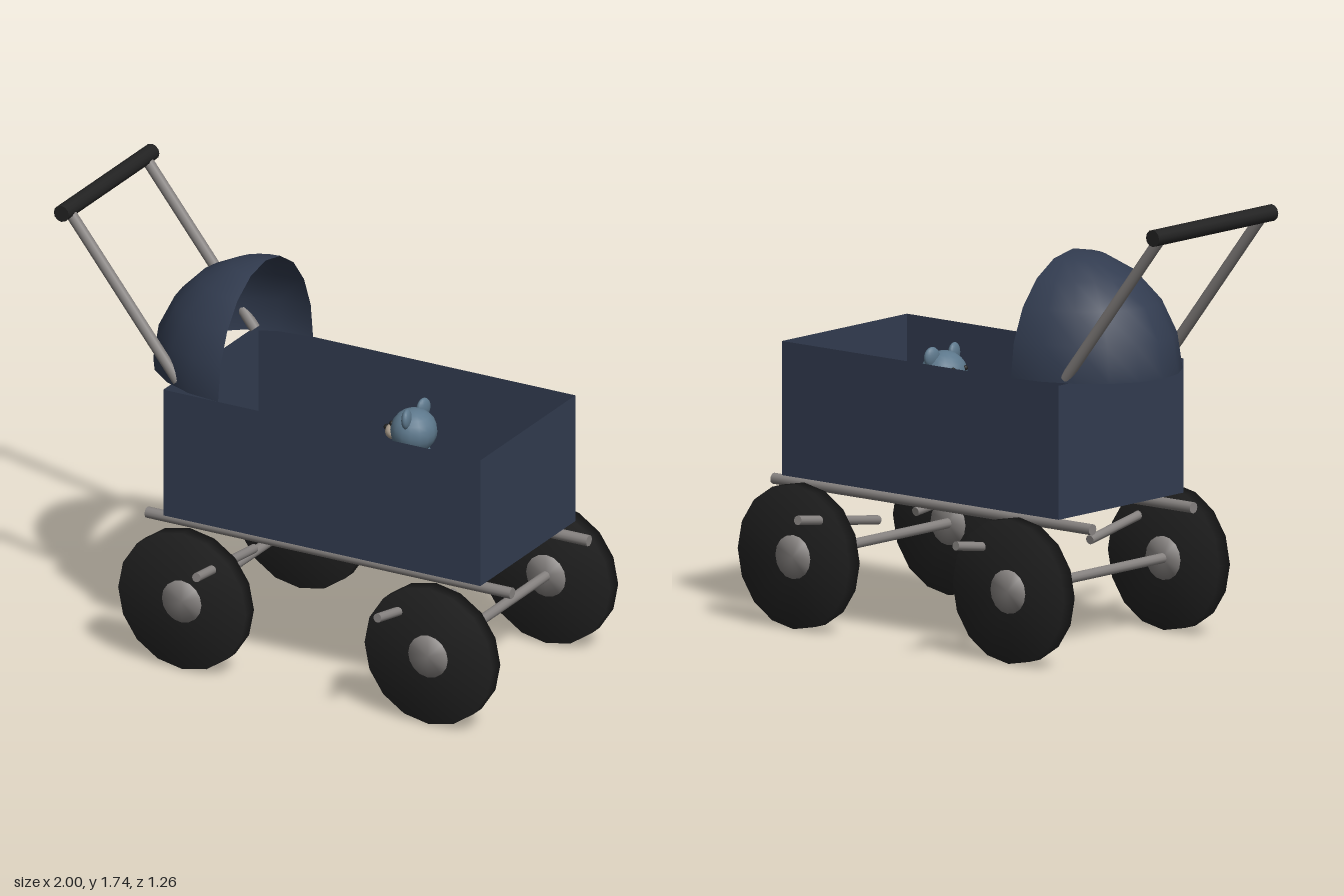
import * as THREE from 'three';
import { mergeVertices } from 'three/addons/utils/BufferGeometryUtils.js';

function material(name, color, side = THREE.FrontSide) {
  const m = new THREE.MeshStandardMaterial({ color, side });
  m.name = name;
  return m;
}

export function createModel() {
  const fabric = material('navy fabric', 0x323c50, THREE.DoubleSide);
  const metal = material('grey metal', 0x868280);
  const rubber = material('black rubber', 0x222222);
  const fur = material('blue fur', 0x5d788c);
  const cream = material('cream plush', 0xb5a796);

  const model = new THREE.Group();
  model.name = 'babyCarriage';

  const add = (name, geometry, mat, parent = model) => {
    const mesh = new THREE.Mesh(geometry, mat);
    mesh.name = name;
    parent.add(mesh);
    return mesh;
  };

  // Round rod between two points
  const rod = (name, a, b, radius, mat, sides = 12) => {
    const from = new THREE.Vector3(...a), to = new THREE.Vector3(...b);
    const dir = to.clone().sub(from);
    const mesh = add(name, new THREE.CylinderGeometry(radius, radius, dir.length(), sides), mat);
    mesh.position.copy(from).add(to).multiplyScalar(0.5);
    mesh.quaternion.setFromUnitVectors(new THREE.Vector3(0, 1, 0), dir.normalize());
    return mesh;
  };

  // Disc along z with softly shaded rim
  const disc = (name, radius, depth, mat, parent) => {
    let g = new THREE.CylinderGeometry(radius, radius, depth, 16);
    g.deleteAttribute('normal');
    g.deleteAttribute('uv');
    g = mergeVertices(g);
    g.rotateX(Math.PI / 2);
    g.computeVertexNormals();
    return add(name, g, mat, parent);
  };

  // Open-topped tub: a box without its top face
  const tub = new THREE.BoxGeometry(1.39, 0.52, 0.73);
  const index = Array.from(tub.index.array);
  index.splice(12, 6);
  tub.setIndex(index);
  tub.clearGroups();
  add('tub', tub, fabric).position.set(0.185, 0.82, 0);

  // Quarter-dome hood, open at the front and below
  const hood = add('hood',
    new THREE.SphereGeometry(1, 10, 5, -Math.PI / 2, Math.PI, 0, Math.PI / 2), fabric);
  hood.scale.set(0.45, 0.45, 0.365);
  hood.position.set(-0.27, 1.08, 0);

  // Push handle
  rod('handleGrip', [-0.967, 1.705, -0.348], [-0.967, 1.705, 0.348], 0.033, rubber);

  for (const s of [-1, 1]) {
    rod('handlePost', [-0.96, 1.695, s * 0.295], [-0.485, 1.095, s * 0.295], 0.022, metal);
    rod('chassisRail', [-0.62, 0.525, s * 0.295], [0.98, 0.525, s * 0.295], 0.022, metal);
    // Slanted spring struts
    rod('strut', [-0.217, 0.46, s * 0.625], [-0.258, 0.382, s * 0.11], 0.018, metal);
    rod('strut', [0.577, 0.46, s * 0.625], [0.618, 0.382, s * 0.11], 0.018, metal);
  }

  // Axles and wheels
  for (const x of [-0.36, 0.72]) {
    rod('axle', [x, 0.28, -0.43], [x, 0.28, 0.43], 0.02, metal);
    for (const s of [-1, 1]) {
      const wheel = new THREE.Group();
      wheel.name = 'wheel';
      wheel.position.set(x, 0.28, s * 0.453);
      disc('tyre', 0.28, 0.062, rubber, wheel);
      disc('hub', 0.085, 0.075, metal, wheel);
      model.add(wheel);
    }
  }

  // Teddy bear sitting in the tub, facing the hood
  const bear = new THREE.Group();
  bear.name = 'teddyBear';
  model.add(bear);
  const ball = (name, pos, scale, mat, yaw = 0) => {
    const mesh = add(name, new THREE.SphereGeometry(1, 16, 12), mat, bear);
    mesh.position.set(...pos);
    mesh.scale.set(...scale);
    mesh.rotation.y = yaw;
  };
  ball('body', [0.385, 0.73, 0], [0.1, 0.165, 0.1], fur);
  ball('head', [0.38, 0.965, 0], [0.09, 0.088, 0.093], fur);
  ball('muzzle', [0.295, 0.945, 0], [0.035, 0.032, 0.04], cream);
  ball('nose', [0.263, 0.955, 0], [0.013, 0.011, 0.015], rubber);
  for (const s of [-1, 1]) {
    ball('ear', [0.385, 1.035, s * 0.065], [0.018, 0.04, 0.036], fur, s * 0.2);
    ball('eye', [0.303, 0.99, s * 0.035], [0.01, 0.011, 0.01], rubber);
    ball('arm', [0.34, 0.82, s * 0.12], [0.055, 0.075, 0.034], fur, s * 0.5);
    ball('leg', [0.245, 0.615, s * 0.072], [0.07, 0.05, 0.04], fur);
    ball('footPad', [0.185, 0.615, s * 0.072], [0.014, 0.032, 0.026], cream);
  }

  return model;
}
